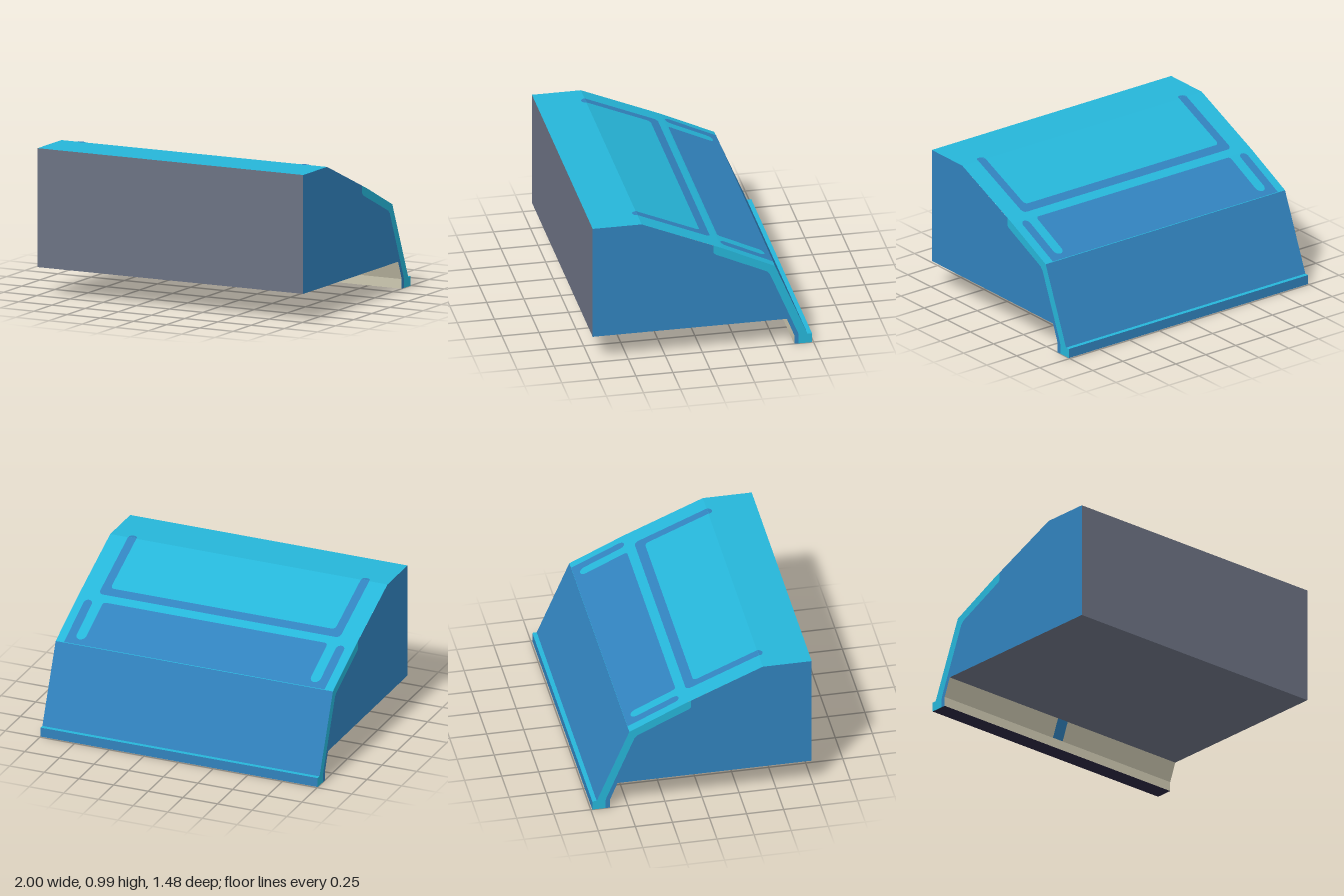
import * as THREE from 'three';

const mat = (name, color) => new THREE.MeshStandardMaterial({ name, color });

export function createModel() {
  const group = new THREE.Group();
  const cyan = mat('cyan', 0x26b5d8);
  const blue = mat('blue', 0x3182bd);
  const gray = mat('slate gray', 0x6c7283);
  const beige = mat('beige', 0xcdc8b1);
  const dark = mat('dark violet', 0x2a2540);

  const add = (name, geometry, material) => {
    const mesh = new THREE.Mesh(geometry, material);
    mesh.name = name;
    group.add(mesh);
  };
  const shapeOf = (pts) => new THREE.ShapeGeometry(new THREE.Shape(pts.map(([x, y]) => new THREE.Vector2(x, y))));

  // Flat face across the width, from profile point a to b (z, y)
  const strip = (name, a, b, material, half = 1, out = 0) => {
    const len = Math.hypot(b[0] - a[0], b[1] - a[1]);
    const oz = (b[1] - a[1]) / len * out, oy = -(b[0] - a[0]) / len * out;
    const g = new THREE.BufferGeometry();
    g.setAttribute('position', new THREE.Float32BufferAttribute([
      -half, a[1] + oy, a[0] + oz, half, a[1] + oy, a[0] + oz,
      half, b[1] + oy, b[0] + oz, -half, b[1] + oy, b[0] + oz], 3));
    g.setIndex([0, 1, 2, 0, 2, 3]);
    g.computeVertexNormals();
    add(name, g, material);
  };

  // Outer skin, going round the side profile
  const profile = [
    [0.74, 0.19, 'frontPanel', gray],
    [0.74, 0.99, 'flatTop', cyan],
    [0.41, 0.99, 'upperSlope', cyan],
    [-0.13, 0.76, 'lowerSlope', cyan],
    [-0.49, 0.59, 'backSlope', blue],
    [-0.71, 0.065, 'lipTop', cyan],
    [-0.74, 0.065, 'lipBack', blue],
    [-0.74, 0, 'lipBottom', dark],
    [-0.62, 0, 'lipFront', beige],
    [-0.62, 0.065, 'skirtInside', beige],
    [-0.57, 0.19, 'underside', gray],
  ];
  profile.forEach(([z, y, name, material], i) => {
    const next = profile[(i + 1) % profile.length];
    strip(name, [z, y], [next[0], next[1]], material);
  });
  strip('skirtStripe', [-0.62, 0.065], [-0.57, 0.19], blue, 0.043, 0.004);

  // Side walls: blue field and cyan border band
  const inner = [[-0.075, 0.783], [-0.075, 0.73], [-0.09, 0.715], [-0.435, 0.556],
    [-0.455, 0.535], [-0.645, 0.08], [-0.65, 0.06], [-0.65, 0]];
  const field = [[0.74, 0.19], [0.74, 0.99], [0.41, 0.99], ...inner,
    [-0.62, 0], [-0.62, 0.065], [-0.57, 0.19]];
  const band = [...inner, [-0.74, 0], [-0.74, 0.065], [-0.71, 0.065], [-0.49, 0.59], [-0.13, 0.76]];
  for (const s of [1, -1]) {
    for (const [name, pts, material] of [['sideWall', field, blue], ['sideBand', band, cyan]]) {
      const g = shapeOf(pts.map(([z, y]) => [-s * z, y]));
      g.rotateY(s * Math.PI / 2).translate(s, 0, 0);
      add(name, g, material);
    }
  }

  // Painted shapes laid on the top surfaces; points are (x, -z)
  const height = (z) => {
    if (z >= 0.41) return 0.99;
    if (z >= -0.13) return 0.76 + (z + 0.13) / 0.54 * 0.23;
    return 0.59 + (z + 0.49) / 0.36 * 0.17;
  };
  const decal = (name, pts) => {
    const g = shapeOf(pts).rotateX(-Math.PI / 2);
    const p = g.attributes.position;
    for (let i = 0; i < p.count; i++) p.setY(i, height(p.getZ(i)) + 0.004);
    g.computeVertexNormals();
    add(name, g, blue);
  };
  const arc = (cx, cy, r, from, to, n = 8) => Array.from({ length: n + 1 }, (_, i) => {
    const t = (from + (to - from) * i / n) * Math.PI;
    return [cx + r * Math.cos(t), cy + r * Math.sin(t)];
  });
  const mirrored = (half) => [...half, ...half.map(([x, y]) => [-x, y]).reverse()];

  // Bracket on the upper slope, with rounded tips over the ridge
  decal('upperBracket', mirrored([
    ...arc(0.785, -0.005, 0.025, 0.5, 0, 4).map(([x, y]) => [x, y + 0.0]),
    [0.81, -0.41], [0.87, -0.41],
    ...arc(0.84, 0.05, 0.03, 0, 0.5, 4),
  ]));
  for (const s of [1, -1]) decal('bracketTip', arc(s * 0.84, -0.411, 0.03, 1, 2));

  // Lower panel, notched by a rounded finger on each side
  decal('lowerPanel', mirrored([
    [0.94, 0.49],
    ...arc(0.91, 0.17, 0.03, 0, -1),
    ...arc(0.845, 0.415, 0.035, 0, 1),
    ...arc(0.79, 0.16, 0.02, 0, -0.5, 4),
  ]));

  return group;
}
